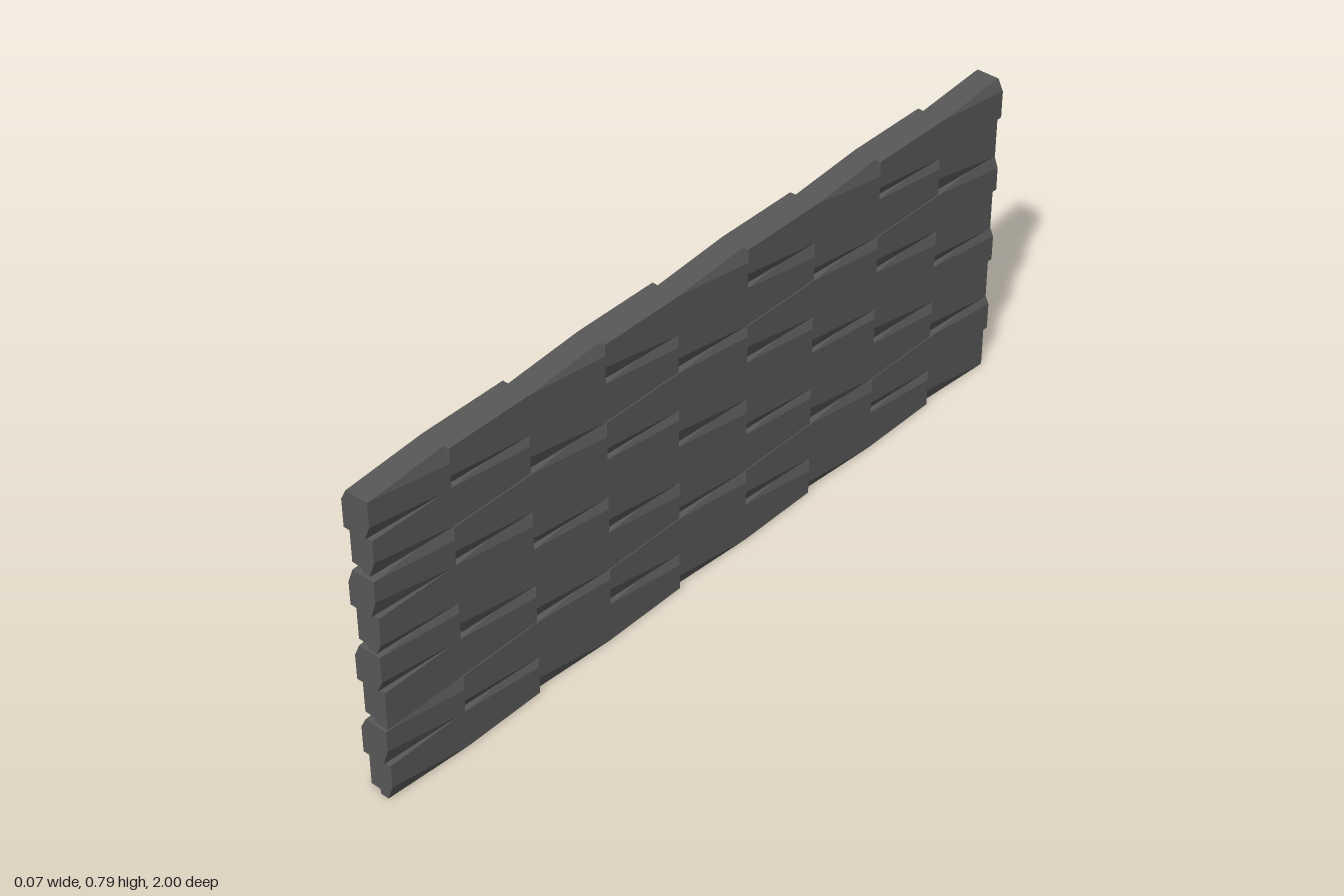
import * as THREE from 'three';
import { ConvexGeometry } from 'three/addons/geometries/ConvexGeometry.js';

const HALF = 0.0365;      // thickness of one brick skin
const CHIP_DEPTH = 0.0145; // how far a chipped corner is set back

// Bottom and top of each course, with hairline gaps above courses 2 and 6
const COURSES = [
  [0, 0.1], [0.1, 0.197], [0.2, 0.299], [0.299, 0.396],
  [0.396, 0.495], [0.495, 0.592], [0.595, 0.692], [0.692, 0.79],
];
// Joint positions along z for alternating courses (running bond)
const JOINTS = [
  [0.995, 0.56, 0.112, -0.332, -0.772, -0.986],
  [1, 0.78, 0.335, -0.11, -0.555, -1],
];
// Chip height at the front end of each course
const FRONT_CHIPS = [0.04, 0.044, 0, 0.032, 0.028, 0.045, 0.042, 0.036];

// Brick from z0 (front) to z1 (back) with two opposite outer corners cut off
function brickGeometry(y0, y1, z0, z1, lowChip, highChip) {
  const points = [];
  const add = (x, y, z) => points.push(new THREE.Vector3(x, y, z));
  const corner = (y, z, dirY, dirZ, chip) => {
    if (!chip) return add(HALF, y, z);
    const run = Math.min(0.22, (z0 - z1) * 0.95);
    add(HALF - CHIP_DEPTH, y, z);
    add(HALF, y + dirY * chip, z);
    add(HALF, y, z + dirZ * run);
  };
  for (const y of [y0, y1]) for (const z of [z0, z1]) add(0, y, z);
  corner(y0, z0, 1, -1, lowChip);
  corner(y1, z1, -1, 1, highChip);
  corner(y1, z0, 0, 0, 0);
  corner(y0, z1, 0, 0, 0);
  return new ConvexGeometry(points);
}

// One face of the wall, on the +x side
function createSkin(material) {
  const skin = new THREE.Group();
  COURSES.forEach(([y0, y1], row) => {
    const course = new THREE.Group();
    course.name = `course${row + 1}`;
    const joints = JOINTS[row % 2];
    for (let i = 0; i < joints.length - 1; i++) {
      const lowChip = i === 0 ? FRONT_CHIPS[row] : 0.03 + 0.006 * ((row + i * 2) % 3);
      const shortEnd = row % 2 === 0 && i === joints.length - 2;
      const highChip = shortEnd ? 0 : 0.028 + 0.005 * ((row * 2 + i) % 3);
      const brick = new THREE.Mesh(
        brickGeometry(y0, y1, joints[i], joints[i + 1], lowChip, highChip), material);
      brick.name = 'brick';
      course.add(brick);
    }
    skin.add(course);
  });
  return skin;
}

export function createModel() {
  const stone = new THREE.MeshStandardMaterial({ color: 0x585858, flatShading: true });
  stone.name = 'dark grey stone';

  const wall = new THREE.Group();
  wall.name = 'brickWall';

  // Two identical skins back to back, the second turned half round
  const leftSkin = createSkin(stone);
  leftSkin.name = 'leftSkin';
  const rightSkin = createSkin(stone);
  rightSkin.name = 'rightSkin';
  rightSkin.rotation.y = Math.PI;
  wall.add(leftSkin, rightSkin);
  return wall;
}
